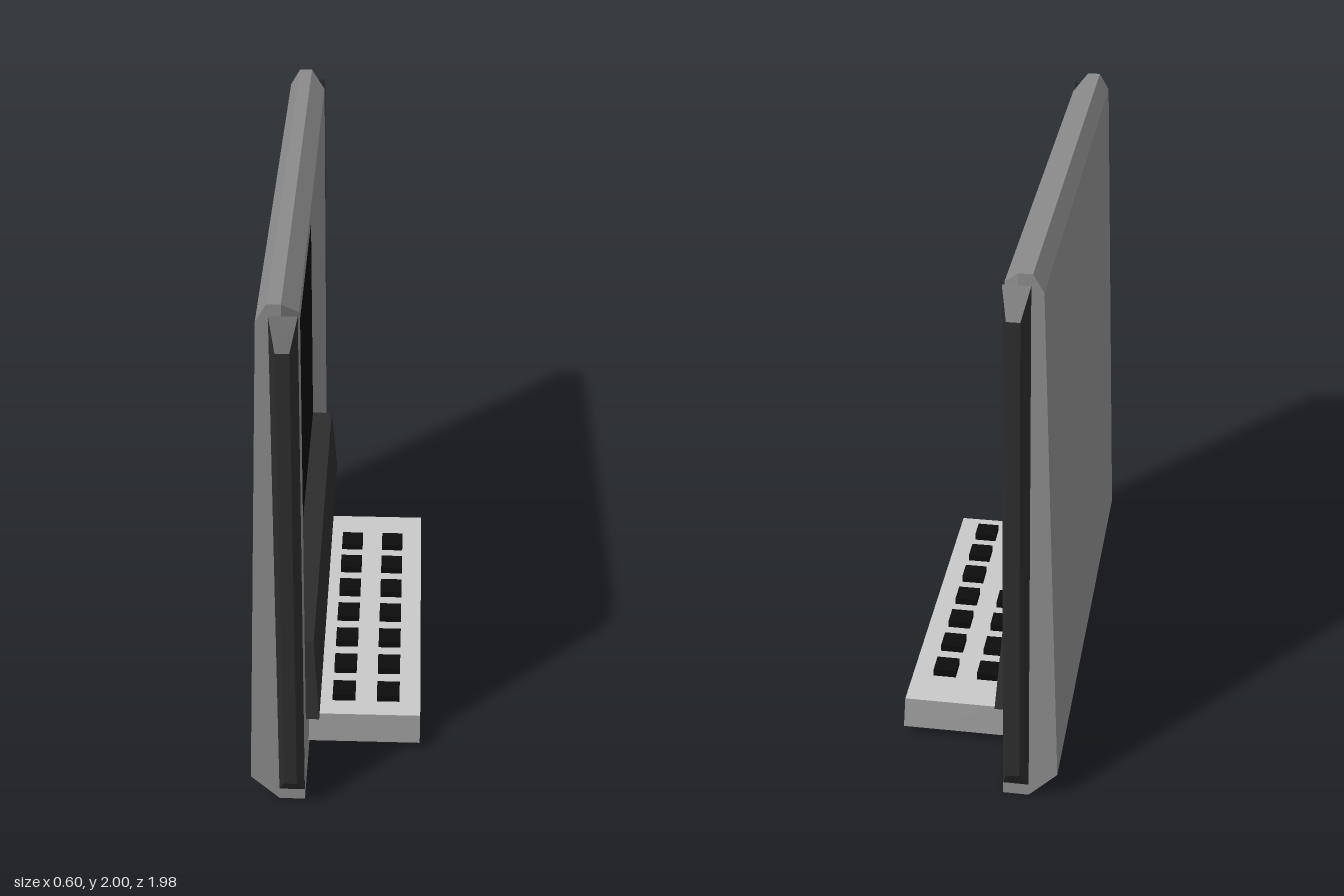
import * as THREE from 'three';

const flat = (name, color) => {
  const m = new THREE.MeshStandardMaterial({ color });
  m.name = name;
  return m;
};

// Flat faces from corner loops, each turned away from the centre (or toward it when inward).
function facets(loops, centre, inward = false) {
  const c = new THREE.Vector3(...centre);
  const out = [];
  for (const loop of loops) {
    const p = loop.map((v) => new THREE.Vector3(...v));
    const n = new THREE.Vector3();
    const mid = new THREE.Vector3();
    p.forEach((v, i) => {
      n.add(new THREE.Vector3().crossVectors(v, p[(i + 1) % p.length]));
      mid.addScaledVector(v, 1 / p.length);
    });
    const outward = n.dot(mid.sub(c)) > 0;
    if (outward === inward) p.reverse();
    // keep the first listed corner as the hub of the fan
    if (outward === inward) p.unshift(p.pop());
    for (let i = 1; i < p.length - 1; i++) {
      for (const v of [p[0], p[i], p[i + 1]]) out.push(v.x, v.y, v.z);
    }
  }
  const g = new THREE.BufferGeometry();
  g.setAttribute('position', new THREE.Float32BufferAttribute(out, 3));
  g.computeVertexNormals();
  return g;
}

// Quads joining two matching closed loops.
const band = (a, b) => a.map((v, i) => {
  const j = (i + 1) % a.length;
  return [v, a[j], b[j], b[i]];
});

export function createModel() {
  const model = new THREE.Group();
  const casing = flat('casing grey', 0x8a8a8a);
  const trim = flat('dark trim', 0x2c2c2c);
  const black = flat('black', 0x0c0c0c);
  const pale = flat('pale grey', 0xc8c8c8);
  const add = (name, geometry, material, parent = model) => {
    const mesh = new THREE.Mesh(geometry, material);
    mesh.name = name;
    parent.add(mesh);
    return mesh;
  };

  // Casing shell: side profile, bevelled front edges, wedge back
  const W = 0.92, B = 0.865, F = -0.11;
  const profile = [[-0.16, 0.14], [-0.16, 2], [-0.205, 2], [-0.24, 1.94],
    [-0.3, 0.1], [-0.2, 0], [F, 0], [F, 0.05]];
  const shell = [];
  for (const s of [1, -1]) {
    shell.push(profile.map(([x, y]) => [x, y, s * W]));
    shell.push([[F, 1.945, s * B], [F, 0.14, s * B], [-0.16, 0.14, s * W], [-0.16, 2, s * W]]);
    shell.push([[F, 0.14, s * B], [F, 0.05, s * W], [-0.16, 0.14, s * W]]);
  }
  for (let i = 1; i < 6; i++) {
    const [a, b] = [profile[i], profile[i + 1]];
    shell.push([[...a, W], [...b, W], [...b, -W], [...a, -W]]);
  }
  shell.push([[F, 1.945, B], [F, 1.945, -B], [-0.16, 2, -W], [-0.16, 2, W]]);
  add('casing', facets(shell, [-0.18, 1, 0]), casing);

  // Front frame with the screen opening
  const frame = new THREE.Shape([[-W, 0], [W, 0], [W, 0.05], [B, 0.14], [B, 1.945],
    [-B, 1.945], [-B, 0.14], [-W, 0.05]].map((p) => new THREE.Vector2(...p)));
  frame.holes.push(new THREE.Path([[-0.81, 0.28], [-0.81, 1.89], [0.81, 1.89], [0.81, 0.28]]
    .map((p) => new THREE.Vector2(...p))));
  add('frontFrame', new THREE.ShapeGeometry(frame).rotateY(Math.PI / 2).translate(F, 0, 0), casing);

  // Sloping walls of the recess, and the screen at its floor
  const rect = (x, y0, y1, z) => [[x, y0, z], [x, y1, z], [x, y1, -z], [x, y0, -z]];
  const floor = rect(-0.16, 0.34, 1.83, 0.745);
  add('screenRecess', facets(band(rect(F, 0.28, 1.89, 0.81), floor), [-0.13, 1, 0], true), casing);
  add('screen', facets([floor], [-0.3, 1, 0]), black);

  // Sloping panel below the screen
  const panel = (xb, xt) => [[xb, 0.275, 0.81], [xt, 0.57, 0.745], [xt, 0.57, -0.745], [xb, 0.275, -0.81]];
  const back = panel(-0.16, -0.16), front = panel(-0.063, -0.083);
  add('lowerPanel', facets([...band(back, front), back, front], [-0.12, 0.42, 0]), trim);

  // Tapered rails along both sides
  for (const s of [1, -1]) {
    const ring = (x0, x1, y0, y1, z) =>
      [[x0, y0, s * z], [x1, y0, s * z], [x1, y1, s * z], [x0, y1, s * z]];
    const base = ring(-0.2, F, 0.045, 1.96, W), tip = ring(-0.177, -0.133, 0.135, 1.87, 0.99);
    add(s > 0 ? 'leftRail' : 'rightRail',
      facets([...band(base, tip), base, tip], [-0.155, 1, s * 0.95]), trim);
  }

  // Keyboard tray with a pale top
  const keyboard = new THREE.Group();
  keyboard.name = 'keyboard';
  model.add(keyboard);
  const tray = (y, z) => [[F, y, z], [0.295, y, z], [0.295, y, -z], [F, y, -z]];
  const low = tray(0.042, 0.66), high = tray(0.138, 0.622);
  add('tray', facets([...band(low, high), low], [0.1, 0.09, 0]), casing, keyboard);
  add('trayTop', facets([high], [0.1, 0, 0]), pale, keyboard);

  // Two columns of seven keys
  const key = new THREE.BoxGeometry(0.083, 0.028, 0.083);
  for (const x of [0.015, 0.177]) {
    for (let i = 0; i < 7; i++) {
      add('key', key, black, keyboard).position.set(x, 0.15, -0.43 + i * 0.156);
    }
  }
  return model;
}
